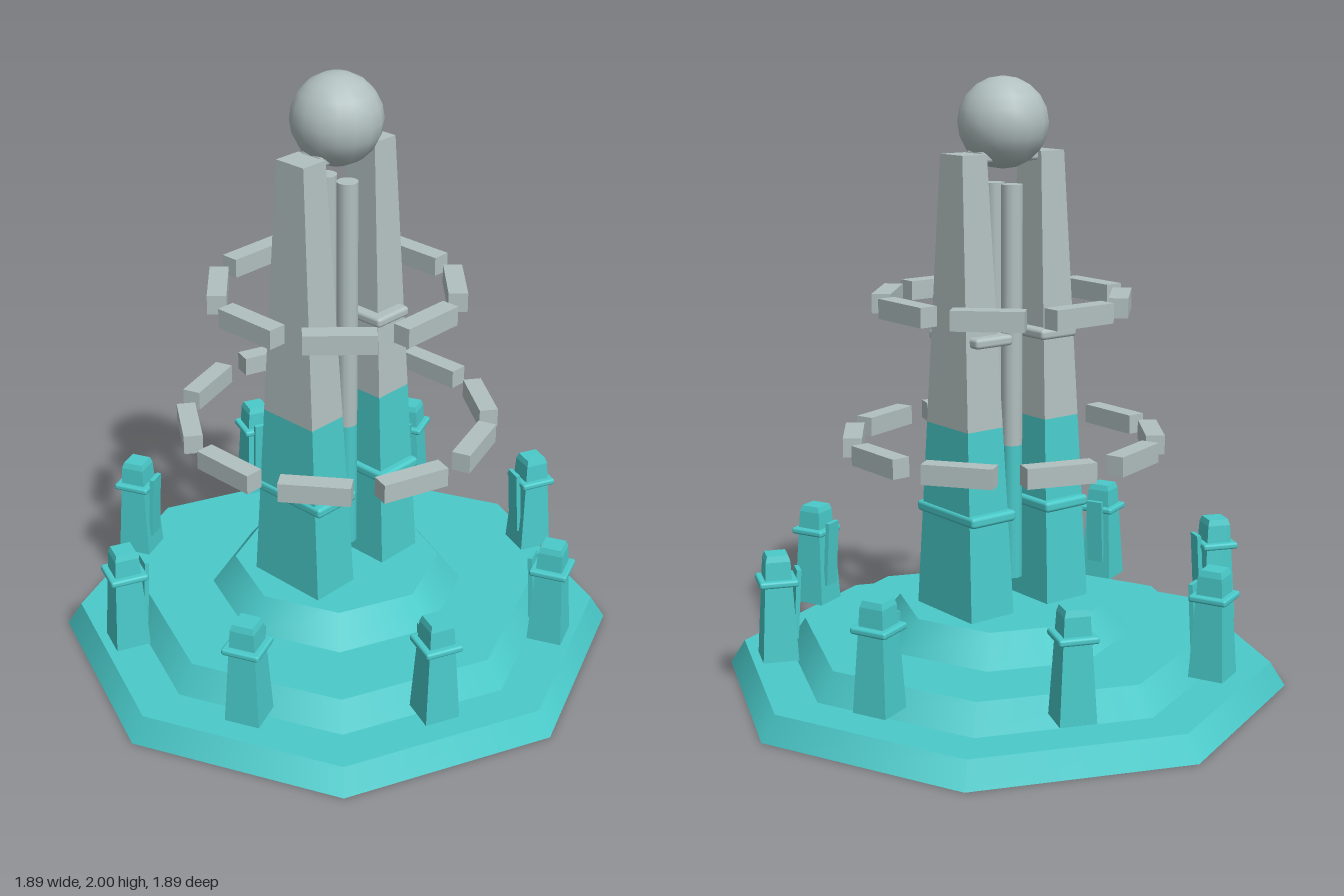
import * as THREE from 'three';
import { RoundedBoxGeometry } from 'three/addons/geometries/RoundedBoxGeometry.js';

export function createModel() {
  const model = new THREE.Group();
  model.name = 'monument';
  const teal = new THREE.MeshStandardMaterial({ color: 0x4acaca });
  teal.name = 'teal';
  const grey = new THREE.MeshStandardMaterial({ color: 0xb2c0c0 });
  grey.name = 'paleGrey';

  const add = (parent, name, geometry, material, x = 0, y = 0, z = 0) => {
    const mesh = new THREE.Mesh(geometry, material);
    mesh.name = name;
    mesh.position.set(x, y, z);
    parent.add(mesh);
    return mesh;
  };

  // Tapered block from y0 to y1, given half widths at both ends
  const taper = (y0, y1, [bx, bz], [tx, tz]) => {
    const g = new THREE.BoxGeometry(2, y1 - y0, 2);
    g.translate(0, (y0 + y1) / 2, 0);
    const p = g.attributes.position;
    for (let i = 0; i < p.count; i++) {
      const top = p.getY(i) > (y0 + y1) / 2;
      p.setX(i, p.getX(i) * (top ? tx : bx));
      p.setZ(i, p.getZ(i) * (top ? tz : bz));
    }
    g.computeVertexNormals();
    return g;
  };

  // Three stepped octagonal tiers
  [[0.895, 0.945, 0, 0.08], [0.68, 0.74, 0.08, 0.17], [0.35, 0.43, 0.17, 0.27]].forEach(([rt, rb, y0, y1], i) =>
    add(model, `baseTier${i + 1}`, new THREE.CylinderGeometry(rt, rb, y1 - y0, 8), teal, 0, (y0 + y1) / 2, 0));

  // Twin towers, each split at the colour change, with two bands
  const low = [0.087, 0.148], high = [0.048, 0.058];
  const mid = low.map((v, i) => v + (high[i] - v) * (0.89 - 0.25) / (1.76 - 0.25));
  for (const side of [-1, 1]) {
    const tower = new THREE.Group();
    tower.name = side > 0 ? 'leftTower' : 'rightTower';
    model.add(tower);
    add(tower, 'towerLower', taper(0.25, 0.89, low, mid), teal, side * 0.158);
    add(tower, 'towerUpper', taper(0.89, 1.76, mid, high), grey, side * 0.158);
    add(tower, 'lowerBand', new RoundedBoxGeometry(0.18, 0.036, 0.306, 2, 0.012), teal, side * 0.153, 0.602, 0);
    add(tower, 'upperBand', new RoundedBoxGeometry(0.147, 0.034, 0.262, 2, 0.012), grey, side * 0.133, 1.175, 0);
  }

  // Front and back rods between the towers
  for (const z of [-0.046, 0.046]) {
    add(model, 'rodLower', new THREE.CylinderGeometry(0.035, 0.035, 0.45, 12), teal, 0, 0.585, z);
    add(model, 'rodUpper', new THREE.CylinderGeometry(0.035, 0.035, 0.85, 12), grey, 0, 1.235, z);
  }

  // Orb and its bridge
  add(model, 'orbBridge', new RoundedBoxGeometry(0.23, 0.04, 0.09, 2, 0.012), grey, 0, 1.75, 0);
  add(model, 'orb', new THREE.SphereGeometry(0.147, 16, 10), grey, 0, 1.853, 0);

  // Floating rings of tangential bars
  const ring = (name, count, radius, y, length) => {
    const group = new THREE.Group();
    group.name = name;
    model.add(group);
    for (let i = 0; i < count; i++) {
      const a = (i / count) * Math.PI * 2;
      const bar = add(group, 'ringBar', new THREE.BoxGeometry(0.062, 0.064, length), grey,
        Math.cos(a) * radius, y, Math.sin(a) * radius);
      bar.rotation.y = -a;
    }
  };
  ring('lowerRing', 10, 0.49, 0.82, 0.228);
  ring('upperRing', 8, 0.38, 1.28, 0.228);

  // Eight small pylons around the rim, each with a collar and an inner panel
  for (let i = 0; i < 8; i++) {
    const a = (i + 0.5) * Math.PI / 4;
    const pylon = new THREE.Group();
    pylon.name = 'pylon';
    pylon.position.set(Math.sin(a) * 0.76, 0, Math.cos(a) * 0.76);
    pylon.rotation.y = a;
    model.add(pylon);
    add(pylon, 'pylonShaft', taper(0.14, 0.47, [0.058, 0.058], [0.04, 0.04]), teal);
    add(pylon, 'pylonCap', taper(0.47, 0.49, [0.04, 0.04], [0.034, 0.034]), teal);
    add(pylon, 'pylonCollar', new RoundedBoxGeometry(0.126, 0.022, 0.126, 2, 0.008), teal, 0, 0.4, 0);
    add(pylon, 'pylonPanel', new THREE.BoxGeometry(0.06, 0.23, 0.015), teal, 0, 0.32, -0.062).rotation.x = -0.06;
  }

  return model;
}
